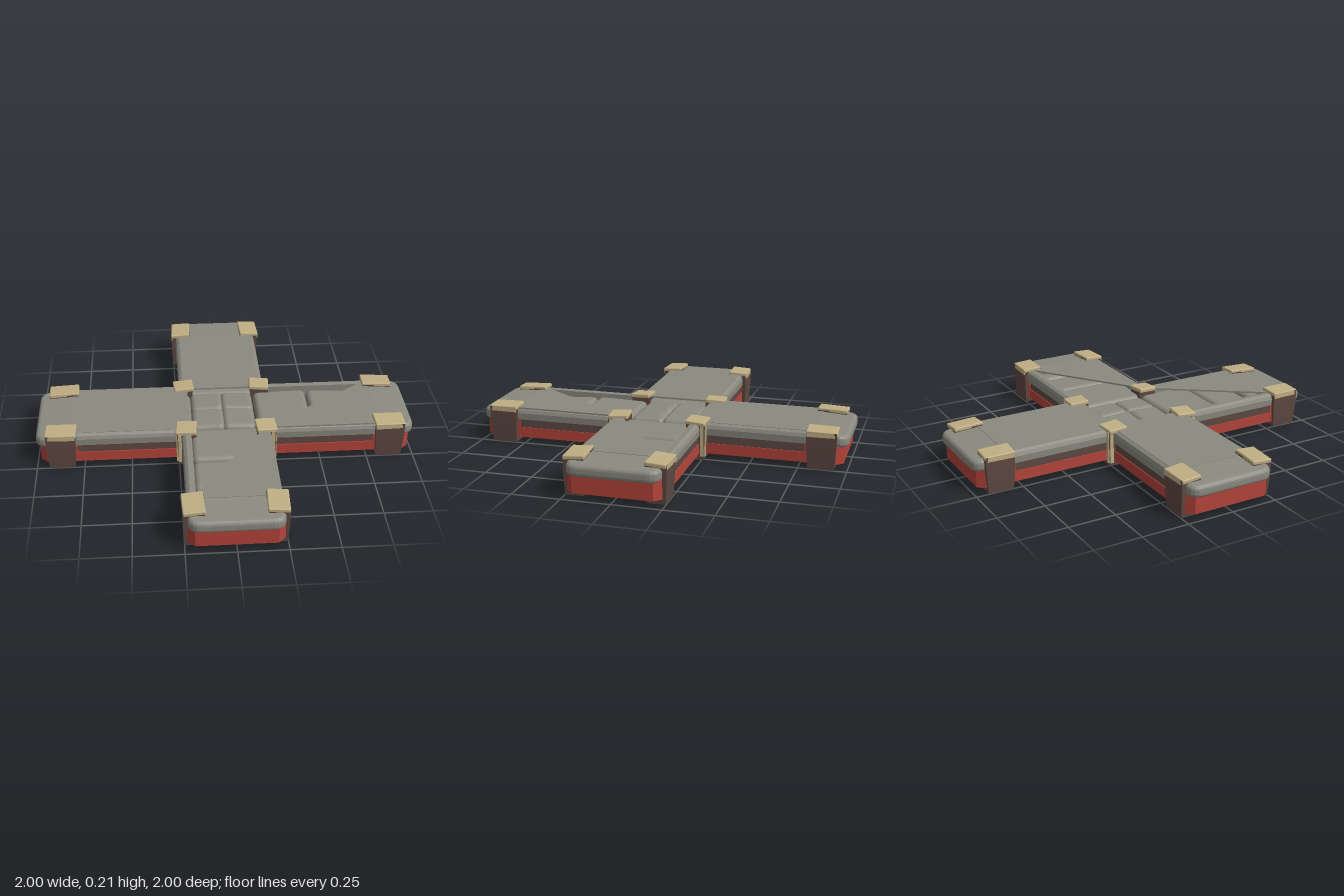
import * as THREE from 'three';
import { RoundedBoxGeometry } from 'three/addons/geometries/RoundedBoxGeometry.js';

const paint = (name, color) => {
  const m = new THREE.MeshStandardMaterial({ color });
  m.name = name;
  return m;
};

export function createModel() {
  const stone = paint('grey stone', 0x8a8a80);
  const red = paint('red skirt', 0xb3443a);
  const brown = paint('dark brown', 0x5e4842);
  const tan = paint('tan cap', 0xbfae84);

  const add = (parent, name, geo, mat, x = 0, y = 0, z = 0) => {
    const m = new THREE.Mesh(geo, mat);
    m.name = name;
    m.position.set(x, y, z);
    parent.add(m);
    return m;
  };
  const outline = (pts) => new THREE.Shape(pts.map(([x, y]) => new THREE.Vector2(x, y)));

  // Profile [distance from arm axis, height] extruded along the arm
  const rail = (pts, side, from, to) => {
    const g = new THREE.ExtrudeGeometry(outline(pts.map(([d, y]) => [-side * d, y])),
      { depth: to - from, bevelEnabled: false });
    g.rotateY(Math.PI / 2);
    g.translate(from, 0, 0);
    return g;
  };
  // Plan outline [x, z] extruded upwards
  const plate = (pts, bottom, top) => {
    const g = new THREE.ExtrudeGeometry(outline(pts.map(([x, z]) => [x, -z])),
      { depth: top - bottom, bevelEnabled: false });
    g.rotateX(-Math.PI / 2);
    g.translate(0, bottom, 0);
    return g;
  };
  // Box whose lower end is narrower than its top
  const taperedBox = (w, h, d, k) => {
    const g = new THREE.BoxGeometry(w, h, d, 1, 4, 1);
    const p = g.attributes.position;
    for (let i = 0; i < p.count; i++) {
      const t = 0.5 - p.getY(i) / h;
      const s = 1 - k * t * t;
      p.setX(i, p.getX(i) * s);
      p.setZ(i, p.getZ(i) * s);
    }
    g.computeVertexNormals();
    return g;
  };

  // Rounded end lip that slopes down towards the tip
  const lipGeometry = () => {
    const b = 0.022, x0 = 0.8, x1 = 1 - b, w = 0.235 - b, r = 0.04;
    const s = new THREE.Shape();
    s.moveTo(x0, -w);
    s.lineTo(x1 - r, -w);
    s.quadraticCurveTo(x1, -w, x1, -w + r);
    s.lineTo(x1, w - r);
    s.quadraticCurveTo(x1, w, x1 - r, w);
    s.lineTo(x0, w);
    s.closePath();
    const g = new THREE.ExtrudeGeometry(s,
      { depth: 0.02, bevelSize: b, bevelThickness: b, bevelSegments: 4, curveSegments: 5 });
    g.rotateX(-Math.PI / 2);
    g.translate(0, 0.13 + b, 0);
    const p = g.attributes.position;
    for (let i = 0; i < p.count; i++) {
      p.setY(i, p.getY(i) - Math.max(0, p.getX(i) - 0.8) * 0.07);
    }
    g.computeVertexNormals();
    return g;
  };

  // tear: 0 for a whole slab, +1 or -1 for a slab broken along a diagonal
  const makeArm = (name, angle, tear) => {
    const arm = new THREE.Group();
    arm.name = name;
    arm.rotation.y = angle;

    for (const s of [-1, 1]) {
      add(arm, 'stoneRail', rail([[0.185, 0.13], [0.235, 0.13], [0.237, 0.165], [0.23, 0.183],
        [0.215, 0.193], [0.185, 0.19]], s, 0.2, 0.82), stone);
      add(arm, 'brownBand', rail([[0.19, 0.085], [0.228, 0.085], [0.228, 0.13], [0.19, 0.13]], s, 0.2, 0.82), brown);
      add(arm, 'redSkirt', rail([[0.195, 0.03], [0.233, 0.03], [0.233, 0.085], [0.195, 0.085]], s, 0.2, 0.82), red);

      // Outer post with its cap
      add(arm, 'outerPost', taperedBox(0.155, 0.198, 0.105, 0.14), brown, 0.867, 0.101, s * 0.203);
      const cap = add(arm, 'outerCap', new RoundedBoxGeometry(0.16, 0.022, 0.108, 2, 0.006), tan, 0.867, 0.197, s * 0.204);
      cap.rotation.set(s * 0.06, s * 0.04, -0.03);
      const edge = add(arm, 'outerCapEdge', new THREE.BoxGeometry(0.15, 0.02, 0.008), tan, 0.867, 0.185, s * 0.254);
      edge.rotation.y = s * 0.04;
    }

    // Red end wall, open inside
    add(arm, 'redEnd', plate([[0.78, -0.235], [0.94, -0.235], [0.978, -0.2], [0.978, 0.2], [0.94, 0.235],
      [0.78, 0.235], [0.78, 0.195], [0.92, 0.195], [0.94, 0.175], [0.94, -0.175], [0.92, -0.195],
      [0.78, -0.195]], 0.03, 0.13), red);
    add(arm, 'endLip', lipGeometry(), stone);

    // Thin covering slab
    const slab = tear
      ? [[0.2, tear * 0.225], [0.82, tear * 0.225], [0.82, -tear * 0.2], [0.78, -tear * 0.19]]
      : [[0.19, -0.215], [0.82, -0.215], [0.82, 0.215], [0.19, 0.215]];
    add(arm, 'coverSlab', plate(slab, 0.186, 0.195), stone);

    // Rounded blocks beneath the slab
    [[0.175, 0.465], [0.47, 0.69], [0.715, 0.93]].forEach(([a, b], i) => {
      const block = add(arm, 'innerBlock', new RoundedBoxGeometry(b - a, 0.075, 0.375, 4, 0.03), stone,
        (a + b) / 2, 0.134 - i * 0.006, 0);
      block.rotation.z = [0.02, -0.05, 0.03][i];
    });
    return arm;
  };

  const model = new THREE.Group();
  model.name = 'crossPlatform';
  model.add(makeArm('leftArm', 0, 1));
  model.add(makeArm('backArm', Math.PI / 2, 0));
  model.add(makeArm('rightArm', Math.PI, 0));
  model.add(makeArm('frontArm', -Math.PI / 2, -1));

  // Recessed blocks at the crossing
  for (const x of [-1, 1]) {
    for (const z of [-1, 1]) {
      const block = add(model, 'centreBlock', new RoundedBoxGeometry(0.175, 0.085, 0.18, 4, 0.03), stone,
        x * 0.082 - 0.005, 0.133, z * 0.085 - 0.008);
      block.rotation.set(z * 0.04, 0, -x * 0.04);
    }
  }

  // Posts in the inner corners, with caps and vertical corner trim
  for (const x of [-1, 1]) {
    for (const z of [-1, 1]) {
      const post = new THREE.Group();
      post.name = 'innerPost';
      post.position.set(x * 0.21, 0, z * 0.213);
      model.add(post);
      add(post, 'postBody', taperedBox(0.1, 0.195, 0.1, 0.1), brown, 0, 0.1, 0);
      const cap = add(post, 'postCap', new RoundedBoxGeometry(0.108, 0.024, 0.108, 2, 0.007), tan, 0, 0.197, 0);
      cap.rotation.set(z * 0.05, x * z * 0.08, -x * 0.05);
      add(post, 'cornerTrim', new THREE.BoxGeometry(0.008, 0.17, 0.018), tan, x * 0.05, 0.105, z * 0.036);
      add(post, 'cornerTrim', new THREE.BoxGeometry(0.018, 0.17, 0.008), tan, x * 0.036, 0.105, z * 0.05);
    }
  }
  return model;
}
